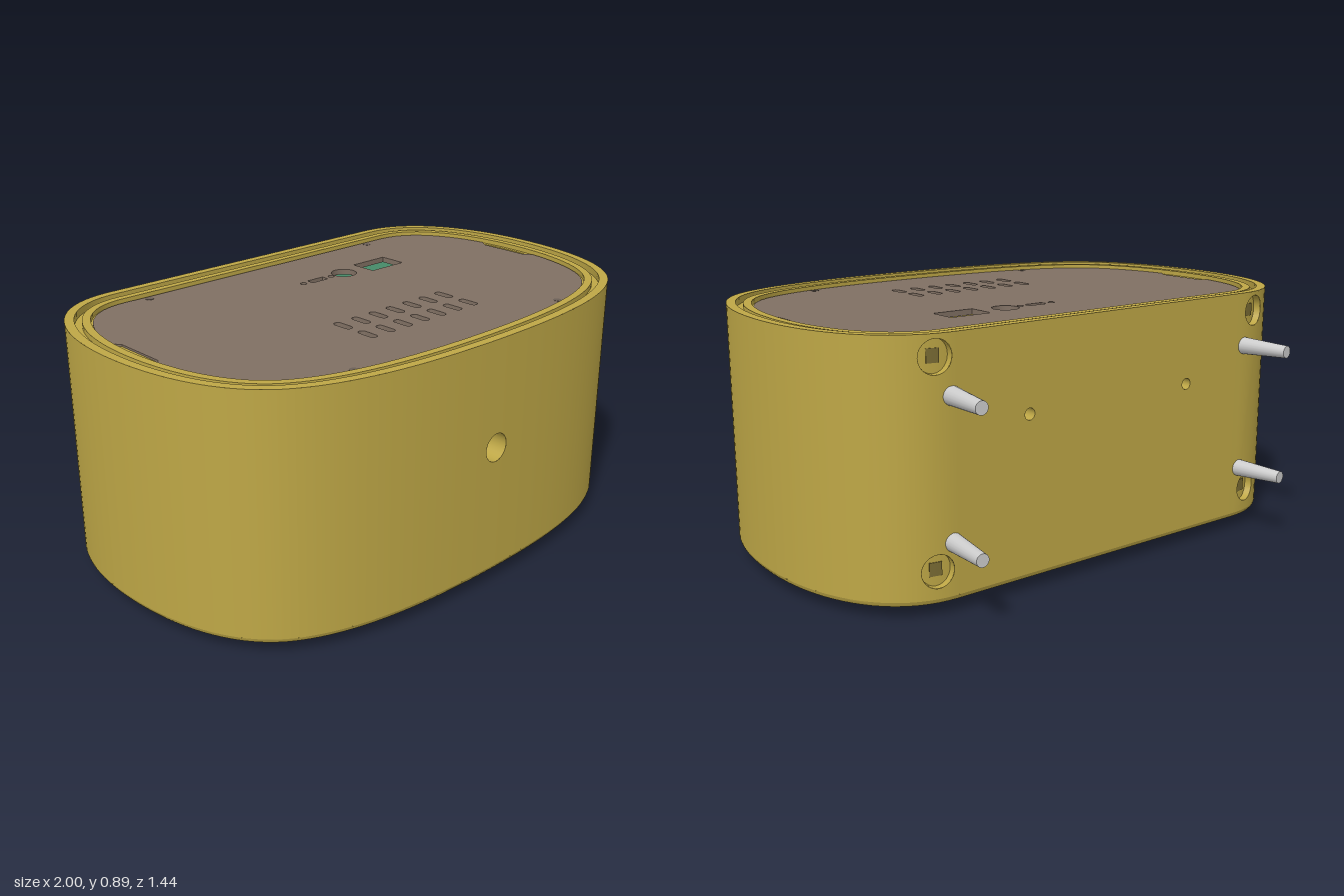
import * as THREE from 'three';
import { toCreasedNormals } from 'three/addons/utils/BufferGeometryUtils.js';

const OLIVE = 0xbea746, PLATE = 0x807063, DARK = 0x4e443d, GREEN = 0x468a68, GREY = 0xcccccc;

// Plan outline in (x, z), starting at the front middle and running round the left side
const plan = new THREE.Path();
plan.moveTo(0, 0.72);
plan.bezierCurveTo(0.36, 0.72, 0.62, 0.68, 0.775, 0.577);
plan.bezierCurveTo(0.945, 0.465, 1, 0.22, 1, 0);
plan.bezierCurveTo(1, -0.3, 0.88, -0.545, 0.63, -0.545);
plan.lineTo(-0.63, -0.545);
plan.bezierCurveTo(-0.88, -0.545, -1, -0.3, -1, 0);
plan.bezierCurveTo(-1, 0.22, -0.945, 0.465, -0.775, 0.577);
plan.bezierCurveTo(-0.62, 0.68, -0.36, 0.72, 0, 0.72);
const M = 800;
const pts = plan.getSpacedPoints(M).slice(0, M);
const L = plan.getLength();
const normals = pts.map((p, i) => {
  const t = pts[(i + 1) % M].clone().sub(pts[(i + M - 1) % M]).normalize();
  return new THREE.Vector2(-t.y, t.x);
});
// Point and outward normal at arc length s
function at(s) {
  const f = (((s / L) % 1) + 1) % 1 * M, i = Math.floor(f) % M, j = (i + 1) % M, k = f - Math.floor(f);
  return [pts[i].clone().lerp(pts[j], k), normals[i].clone().lerp(normals[j], k).normalize()];
}
const ring = (inset) => pts.filter((_, i) => i % 5 === 0)
  .map((p, i) => p.clone().addScaledVector(normals[i * 5], -inset));
// Arc length of the back wall point nearest to x
const backS = (x) => {
  const back = pts.map((p, i) => [p, i]).filter(([p]) => p.y < -0.4);
  return back.reduce((a, b) => (Math.abs(b[0].x - x) < Math.abs(a[0].x - x) ? b : a))[1] / M * L;
};

function add(group, name, geo, color, pos = [0, 0, 0], both = false) {
  const mat = new THREE.MeshStandardMaterial({ color });
  if (both) mat.side = THREE.DoubleSide;
  const mesh = new THREE.Mesh(geo, mat);
  mesh.name = name;
  mesh.position.set(...pos);
  group.add(mesh);
  return mesh;
}

// Sweep a profile of [inset, y] points round the outline
function sweep(profile) {
  const pos = [], idx = [], n = M / 5, m = profile.length;
  const rings = profile.map(([d]) => ring(d));
  for (let i = 0; i < n; i++) profile.forEach(([, y], j) => pos.push(rings[j][i].x, y, rings[j][i].y));
  for (let i = 0; i < n; i++) for (let j = 0; j < m - 1; j++) {
    const a = i * m + j, b = ((i + 1) % n) * m + j;
    idx.push(a, b + 1, b, a, a + 1, b + 1);
  }
  const g = new THREE.BufferGeometry();
  g.setAttribute('position', new THREE.Float32BufferAttribute(pos, 3));
  g.setIndex(idx);
  return toCreasedNormals(g, 0.6);
}

// Bend a flat (s, y, offset) shape onto the outline
function wrap(g) {
  const p = g.attributes.position, n = g.attributes.normal;
  for (let i = 0; i < p.count; i++) {
    const [q, m] = at(p.getX(i));
    const d = p.getZ(i), [a, b, c] = [n.getX(i), n.getY(i), n.getZ(i)];
    p.setXYZ(i, q.x + m.x * d, p.getY(i), q.y + m.y * d);
    n.setXYZ(i, m.y * a + m.x * c, b, -m.x * a + m.y * c);
  }
  return g;
}

function circle(x, y, r) {
  return new THREE.Path().absarc(x, y, r, 0, Math.PI * 2, true);
}
function rect(x, y, w, h) {
  return new THREE.Path([[-1, -1], [-1, 1], [1, 1], [1, -1]]
    .map(([a, b]) => new THREE.Vector2(x + a * w / 2, y + b * h / 2)));
}
// Upright slot with rounded ends
function slot(x, y, w, h) {
  const r = w / 2, e = h / 2 - r, p = new THREE.Path();
  p.absarc(x, y + e, r, 0, Math.PI, false);
  p.absarc(x, y - e, r, Math.PI, Math.PI * 2, false);
  return p;
}

export function createModel() {
  const model = new THREE.Group();
  model.name = 'tableRadio';

  // Outer wall: plain spans between the columns that carry bores
  const y0 = 0.06, y1 = 0.89;
  const recess = { w: 0.075, r: 0.055, ys: [0.15, 0.82], depth: 0.025, color: OLIVE, name: 'backRecess' };
  const small = { w: 0.04, r: 0.02, ys: [0.595], depth: 0.06, color: DARK, name: 'backHole' };
  const columns = [
    { s: backS(0.7), ...recess }, { s: backS(0.35), ...small },
    { s: backS(-0.35), ...small }, { s: backS(-0.7), ...recess },
    { s: L, w: 0.07, r: 0.05, ys: [0.51], depth: 0.08, color: 0x6a6a70, name: 'frontSocket' },
  ];
  let from = 0.07;
  for (const { s, w, r, ys, depth, color, name } of columns) {
    const span = s - w - from;
    const plain = new THREE.PlaneGeometry(span, y1 - y0, Math.ceil(span / 0.03), 1);
    plain.translate(from + span / 2, (y0 + y1) / 2, 0);
    add(model, 'wall', wrap(plain), OLIVE, [0, 0, 0], true);
    const edge = [];
    for (let k = 0; k <= 6; k++) edge.push(new THREE.Vector2(s - w + w * k / 3, y0));
    for (let k = 6; k >= 0; k--) edge.push(new THREE.Vector2(s - w + w * k / 3, y1));
    const sheet = new THREE.Shape(edge);
    sheet.holes = ys.map((y) => circle(s, y, r));
    add(model, 'piercedWall', wrap(new THREE.ShapeGeometry(sheet, 24)), OLIVE, [0, 0, 0], true);
    for (const y of ys) {
      const tube = new THREE.CylinderGeometry(r, r, depth, 24, 1, true).rotateX(Math.PI / 2);
      add(model, name, wrap(tube.translate(s, y, -depth / 2)), OLIVE, [0, 0, 0], true);
      add(model, name + 'Floor', wrap(new THREE.CircleGeometry(r, 24).translate(s, y, -depth)), color);
      if (name === 'backRecess') {
        const socket = new THREE.BoxGeometry(0.045, 0.045, 0.006).translate(s, y, -depth);
        add(model, 'recessSocket', wrap(socket), 0x7a6c34);
      }
    }
    from = s + w;
  }
  add(model, 'socketContact', new THREE.BoxGeometry(0.02, 0.06, 0.01), GREEN, [0.035, 0.51, 0.645]);

  // Grooved top rim, rounded bottom lip and inner wall
  add(model, 'topRim', sweep([[0, 0.89], [0.032, 0.89], [0.032, 0.865], [0.057, 0.865], [0.057, 0.885],
    [0.085, 0.885], [0.085, 0.868], [0.1, 0.868], [0.1, 0.13]]), OLIVE, [0, 0, 0], true);
  add(model, 'bottomLip', sweep([[0, 0.06], [0.002, 0.052], [0.007, 0.045], [0.02, 0.041], [0.045, 0.041],
    [0.056, 0.046], [0.062, 0.06], [0.062, 0.14]]), OLIVE, [0, 0, 0], true);

  // Tapered back pegs, splayed outward
  for (const side of [1, -1]) for (const y of [0.235, 0.697]) {
    const a = new THREE.Vector3(side * 0.642, y, -0.5);
    const b = new THREE.Vector3(side * 0.67, y, -0.722);
    const dir = b.clone().sub(a);
    const peg = add(model, 'backPeg', new THREE.CylinderGeometry(0.022, 0.033, dir.length(), 20), GREY,
      a.clone().add(b).multiplyScalar(0.5).toArray());
    peg.quaternion.setFromUnitVectors(new THREE.Vector3(0, 1, 0), dir.normalize());
  }

  // Top plate with vents and connector openings (shape y is -z)
  const plate = new THREE.Shape(ring(0.092).map((p) => {
    const notch = Math.abs(p.y) < 0.125 && Math.abs(p.x) > 0.5;
    return new THREE.Vector2(notch ? Math.sign(p.x) * 0.877 : p.x, -p.y);
  }));
  for (let i = -3; i <= 3; i++) for (const z of [0.25, 0.365]) plate.holes.push(slot(i * 0.082, -z, 0.028, 0.078));
  plate.holes.push(circle(0.178, 0.195, 0.048), rect(0.36, 0.195, 0.16, 0.105), rect(0.045, 0.195, 0.075, 0.03),
    circle(-0.025, 0.195, 0.012), circle(0.113, 0.195, 0.012));
  const plateGeo = new THREE.ExtrudeGeometry(plate, { depth: 0.02, bevelEnabled: false, curveSegments: 10 });
  add(model, 'topPlate', toCreasedNormals(plateGeo.rotateX(-Math.PI / 2), 0.5), PLATE, [0, 0.852, 0]);
  for (const [x, z] of [[-0.54, -0.43], [0.53, -0.43], [-0.5, 0.565], [0.49, 0.565]]) {
    add(model, 'plateScrew', new THREE.CylinderGeometry(0.015, 0.015, 0.004, 16), 0x6a5f56, [x, 0.871, z]);
  }
  for (const side of [1, -1]) {
    add(model, 'sideLatch', new THREE.BoxGeometry(0.04, 0.03, 0.25), OLIVE, [side * 0.89, 0.85, 0]);
  }

  // Parts glimpsed through the openings
  add(model, 'connectorBoard', new THREE.BoxGeometry(0.6, 0.015, 0.31), GREEN, [0.35, 0.775, -0.285]);
  add(model, 'innerTray', new THREE.BoxGeometry(1.2, 0.02, 0.84), PLATE, [0, 0.25, 0]);
  for (const [x, color] of [[-0.246, 0x4c4450], [0, 0x3f78b0], [0.082, 0x7a5a60], [0.164, 0xb05a50], [0.246, 0xb05a50]]) {
    add(model, 'wire', new THREE.BoxGeometry(0.04, 0.03, 0.1), color, [x, 0.275, 0.25]);
  }

  // Perforated grille over the speaker side, set deep in the lip (shape y is z)
  const grille = new THREE.Shape(ring(0.06));
  const pitch = 0.048;
  for (let row = -12; row <= 17; row++) for (let col = -21; col <= 21; col++) {
    const h = new THREE.Vector2((col + (row & 1) / 2) * pitch, row * pitch * 0.87);
    const underPanel = h.x > 0 && h.y < 0.42;
    const inside = pts.every((p, i) => i % 5 || normals[i].dot(h.clone().sub(p)) < -0.085);
    if (inside && !underPanel) grille.holes.push(circle(h.x, h.y, 0.0138));
  }
  add(model, 'grille', new THREE.ShapeGeometry(grille, 4).rotateX(Math.PI / 2), 0xcfc5b4, [0, 0.115, 0], true);
  add(model, 'grilleBacking', new THREE.ShapeGeometry(new THREE.Shape(ring(0.06))).rotateX(Math.PI / 2),
    0x35312d, [0, 0.132, 0], true);

  // Control panel with its rounded inner corner and light edge strip
  const panel = new THREE.Shape(ring(0.064).filter((p) => p.x > 0.03 && p.y < 0.39));
  panel.lineTo(0.03, 0.24);
  panel.quadraticCurveTo(0.03, 0.39, 0.18, 0.39);
  const panelGeo = new THREE.ExtrudeGeometry(panel, { depth: 0.01, bevelEnabled: false });
  add(model, 'controlPanel', panelGeo.rotateX(Math.PI / 2), DARK, [0, 0.118, 0]);
  const strip = new THREE.CatmullRomCurve3([[0.03, -0.475], [0.03, -0.1], [0.03, 0.22], [0.07, 0.35], [0.2, 0.39],
    [0.5, 0.39], [0.83, 0.39]].map(([x, z]) => new THREE.Vector3(x, 0.111, z)));
  add(model, 'panelEdge', new THREE.TubeGeometry(strip, 40, 0.008, 6), 0xc4beb4);
  add(model, 'screenFrame', new THREE.BoxGeometry(0.52, 0.006, 0.39), 0x86684f, [0.415, 0.107, 0.085]);
  add(model, 'screen', new THREE.BoxGeometry(0.49, 0.006, 0.36), 0x222426, [0.42, 0.105, 0.08]);
  const button = new THREE.BoxGeometry(0.085, 0.018, 0.042);
  for (let i = 0; i < 5; i++) add(model, 'button', button, 0xbcb8b0, [0.235 + i * 0.112, 0.101, -0.185]);
  for (let i = 0; i < 3; i++) add(model, 'button', button, 0xbcb8b0, [0.175 + i * 0.108, 0.101, -0.3]);

  // Ribbed tuning knob
  const knob = new THREE.Group();
  knob.name = 'tuningKnob';
  knob.position.set(0.8, 0, 0.025);
  const profile = [[0, 0], [0.1, 0], [0.109, 0.004], [0.114, 0.012], [0.114, 0.024], [0.108, 0.026], [0.108, 0.11]]
    .map(([r, y]) => new THREE.Vector2(r, y));
  add(knob, 'knobBody', toCreasedNormals(new THREE.LatheGeometry(profile, 48), 0.7), GREY, [0, 0, 0], true);
  for (let i = 0; i < 40; i++) {
    const a = i / 40 * Math.PI * 2;
    const rib = add(knob, 'knobRib', new THREE.BoxGeometry(0.008, 0.08, 0.009), GREY,
      [Math.cos(a) * 0.109, 0.064, Math.sin(a) * 0.109]);
    rib.rotation.y = -a;
  }
  model.add(knob);
  return model;
}
